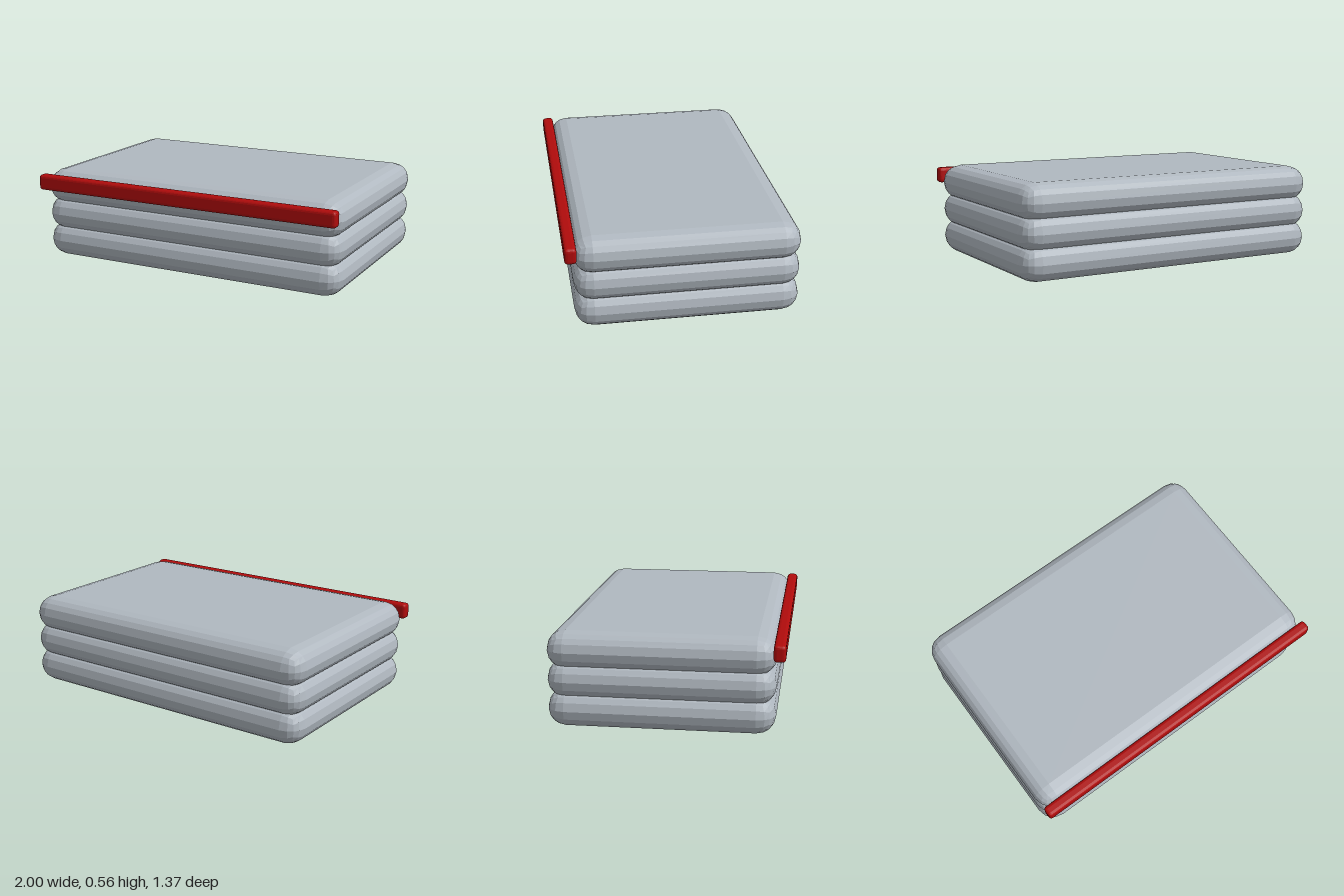
import * as THREE from 'three';
import { RoundedBoxGeometry } from 'three/addons/geometries/RoundedBoxGeometry.js';

export function createModel() {
  const model = new THREE.Group();
  model.name = 'stackedSlabs';

  const grey = new THREE.MeshStandardMaterial({ name: 'paleGrey', color: 0xb0b8c0, flatShading: true });
  const red = new THREE.MeshStandardMaterial({ name: 'red', color: 0xb00c0c, flatShading: true });

  // A softly faceted pillow-edged block
  function addBlock(name, size, radius, position, material) {
    const mesh = new THREE.Mesh(new RoundedBoxGeometry(...size, 2, radius), material);
    mesh.name = name;
    mesh.position.set(...position);
    model.add(mesh);
  }

  // Three overlapping padded slabs
  ['bottomSlab', 'middleSlab', 'topSlab'].forEach((name, i) => {
    addBlock(name, [2, 0.22, 1.315], 0.11, [0, 0.11 + i * 0.1725, -0.025], grey);
  });

  // Slim bar along the front upper edge
  addBlock('frontBar', [2, 0.097, 0.069], 0.02, [0, 0.493, 0.648], red);

  return model;
}
